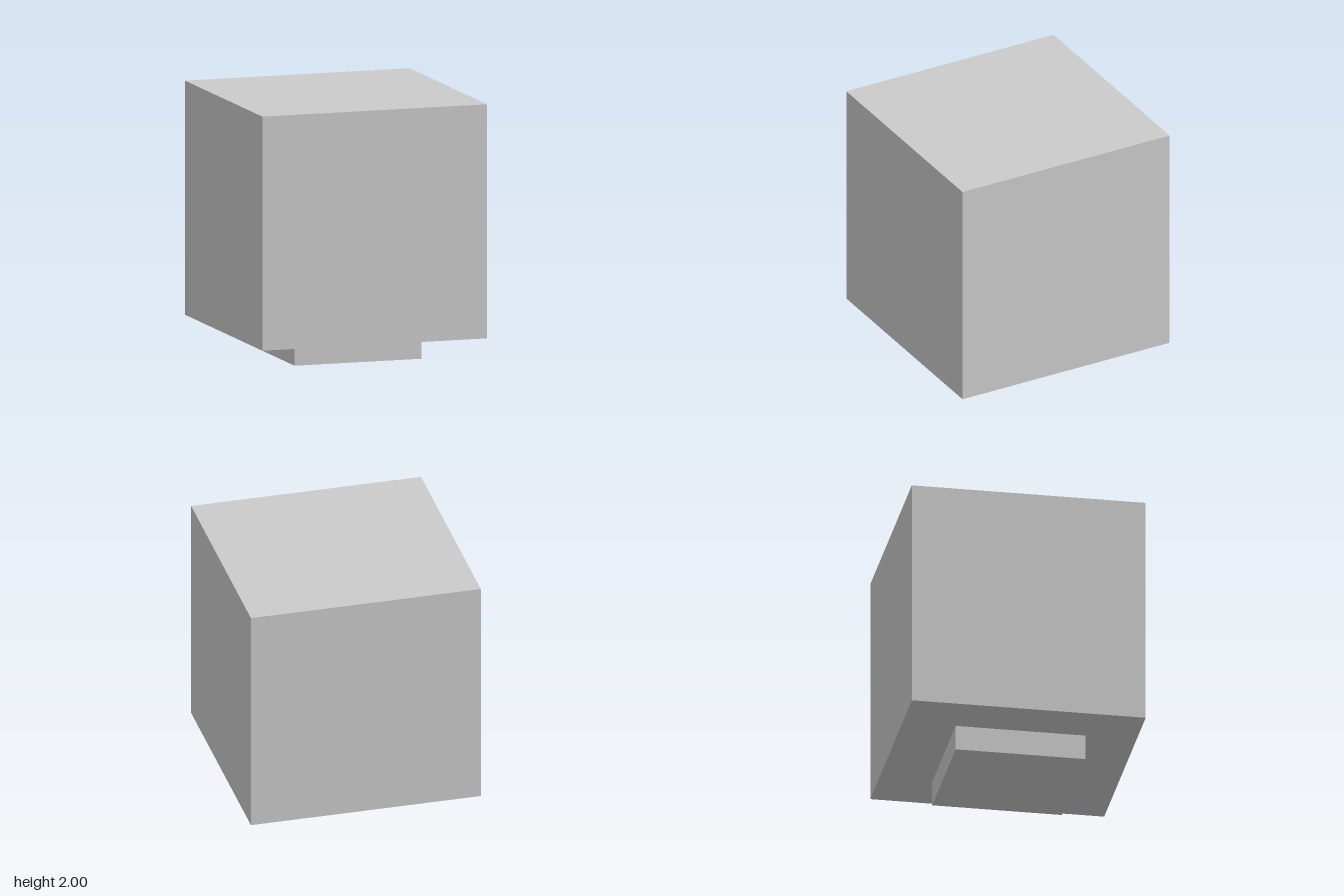
import * as THREE from 'three';

export function createModel() {
  const group = new THREE.Group();
  const material = new THREE.MeshStandardMaterial({ color: 0xcccccc, flatShading: true });

  // Box given by its lower and upper corners
  const addBox = (name, min, max) => {
    const size = max.map((v, i) => v - min[i]);
    const mesh = new THREE.Mesh(new THREE.BoxGeometry(...size), material);
    mesh.position.set(...max.map((v, i) => (v + min[i]) / 2));
    mesh.name = name;
    group.add(mesh);
  };

  // Large cube resting on a smaller, slightly off-centre plinth
  addBox('body', [-0.903, 0.197, -0.903], [0.903, 2, 0.903]);
  addBox('plinth', [-0.508, 0, -0.494], [0.514, 0.197, 0.508]);

  return group;
}
